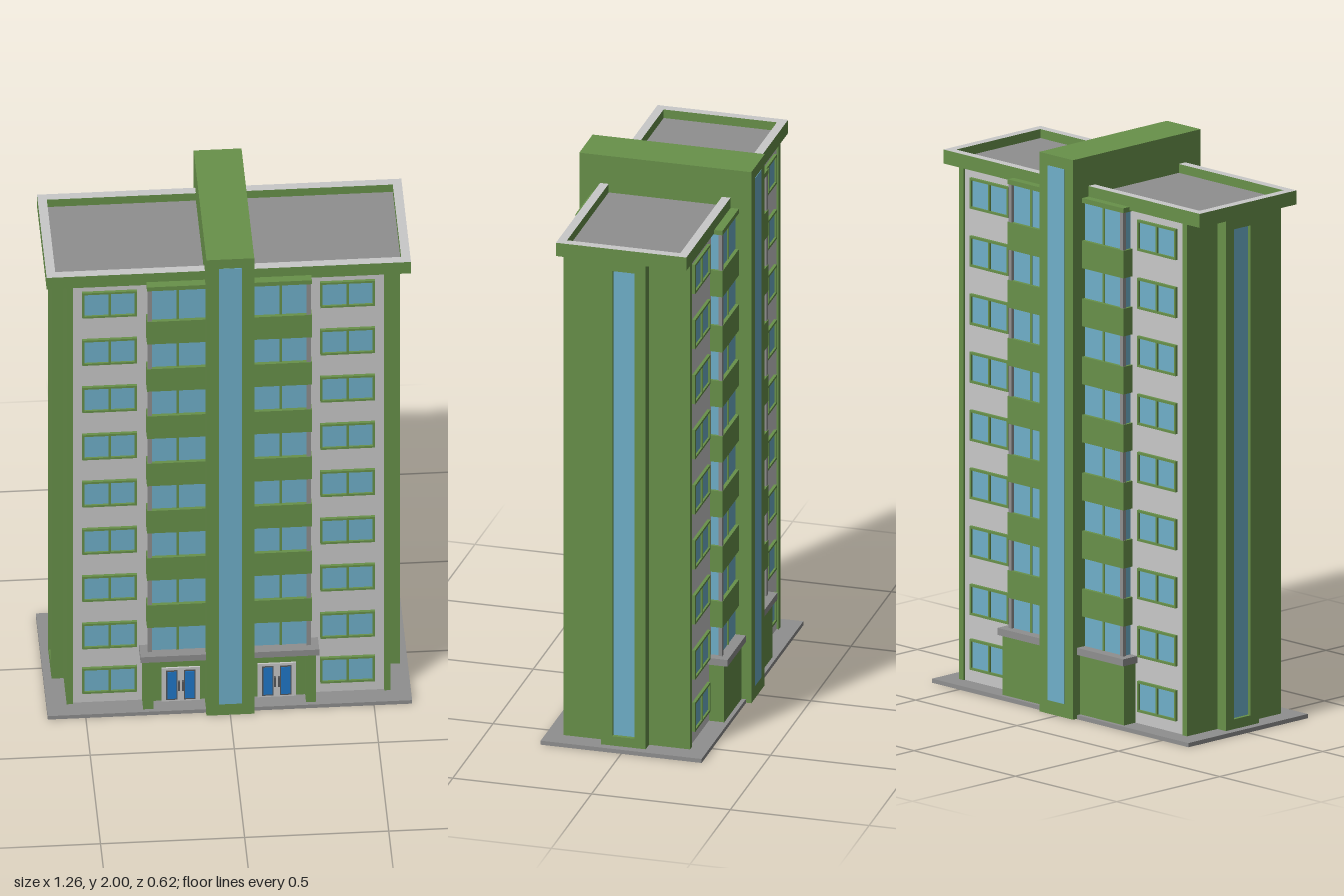
import * as THREE from 'three';

const mat = (name, color) => {
  const m = new THREE.MeshStandardMaterial({ color });
  m.name = name;
  return m;
};

export function createModel() {
  const green = mat('green paint', 0x68914a);
  const pale = mat('pale wall', 0xc9c9c9);
  const grey = mat('grey concrete', 0x8f8f8f);
  const glass = mat('window glass', 0x6fb0ca);
  const blue = mat('door blue', 0x1f78c8);
  const dark = mat('dark handle', 0x55585c);

  const model = new THREE.Group();
  model.name = 'apartmentBlock';

  // Box given by its lower and upper limits on each axis
  const box = (name, material, x0, x1, y0, y1, z0, z1, parent = model) => {
    const mesh = new THREE.Mesh(new THREE.BoxGeometry(x1 - x0, y1 - y0, z1 - z0), material);
    mesh.position.set((x0 + x1) / 2, (y0 + y1) / 2, (z0 + z1) / 2);
    mesh.name = name;
    parent.add(mesh);
    return mesh;
  };

  // Rectangular ring lying in the xy plane, extruded along z
  const ring = (w, h, iw, ih, depth) => {
    const rect = (C, a, b) => {
      const p = new C();
      p.moveTo(-a / 2, -b / 2);
      p.lineTo(a / 2, -b / 2);
      p.lineTo(a / 2, b / 2);
      p.lineTo(-a / 2, b / 2);
      p.closePath();
      return p;
    };
    const s = rect(THREE.Shape, w, h);
    s.holes.push(rect(THREE.Path, iw, ih));
    return new THREE.ExtrudeGeometry(s, { depth, bevelEnabled: false });
  };

  // Ground slab, main body and central tower
  box('groundSlab', grey, -0.632, 0.632, 0, 0.015, -0.29, 0.29);
  box('mainBody', pale, -0.54, 0.54, 0.015, 1.85, -0.22, 0.22);
  box('centralTower', green, -0.083, 0.083, 0.002, 2, -0.31, 0.31);

  // Roof deck with parapet
  box('roofSlab', green, -0.632, 0.632, 1.845, 1.86, -0.235, 0.235);
  box('roofFloor', grey, -0.601, 0.601, 1.858, 1.863, -0.205, 0.205);
  const parapet = new THREE.Mesh(ring(1.264, 0.47, 1.2, 0.408, 0.037), [pale, green]);
  parapet.rotation.x = -Math.PI / 2;
  parapet.position.y = 1.858;
  parapet.name = 'parapet';
  model.add(parapet);

  // End walls, each with a projecting stair bay and a tall recessed window
  for (const s of [1, -1]) {
    const end = new THREE.Group();
    end.name = s > 0 ? 'leftEnd' : 'rightEnd';
    if (s < 0) end.rotation.y = Math.PI;
    box('endWall', green, 0.54, 0.562, 0.015, 1.846, -0.228, 0.228, end);
    box('stairWindow', glass, 0.555, 0.59, 0.05, 1.8, -0.04, 0.04, end);
    box('bayCheek', green, 0.555, 0.604, 0.015, 1.846, 0.04, 0.08, end);
    box('bayCheek', green, 0.555, 0.604, 0.015, 1.846, -0.08, -0.04, end);
    box('bayHead', green, 0.555, 0.604, 1.8, 1.846, -0.04, 0.04, end);
    box('baySill', green, 0.555, 0.604, 0.015, 0.05, -0.04, 0.04, end);
    model.add(end);
  }

  // Height of each storey's window centre
  const floors = [0.31];
  for (let i = 1; i < 8; i++) floors.push(0.31 + 0.2073 * i);

  const frameGeo = ring(0.19, 0.11, 0.174, 0.094, 0.012);

  const facade = (name) => {
    const f = new THREE.Group();
    f.name = name;
    box('towerWindow', glass, -0.04, 0.04, 0.05, 1.96, 0.305, 0.3115, f);

    for (const s of [1, -1]) {
      const span = (n, m, a, b, y0, y1, z0, z1) =>
        box(n, m, Math.min(s * a, s * b), Math.max(s * a, s * b), y0, y1, z0, z1, f);

      // Framed double windows on the pale wall
      for (const y of [0.114, ...floors]) {
        const frame = new THREE.Mesh(frameGeo, green);
        frame.position.set(s * 0.413, y, 0.219);
        frame.name = 'windowFrame';
        f.add(frame);
        span('windowGlass', glass, 0.325, 0.501, y - 0.048, y + 0.048, 0.219, 0.224);
        span('windowMullion', green, 0.409, 0.417, y - 0.048, y + 0.048, 0.219, 0.231);
      }

      // Glazed balcony stack with grey corner post
      span('balconyGlazing', glass, 0.07, 0.276, 0.25, 1.845, 0.2, 0.252);
      span('balconyMullion', green, 0.175, 0.183, 0.25, 1.845, 0.245, 0.256);
      span('cornerPost', grey, 0.268, 0.283, 0.25, 1.845, 0.249, 0.263);
      span('balconyTop', green, 0.07, 0.286, 1.84, 1.857, 0.2, 0.265);
      floors.forEach((y, i) => {
        const low = i ? floors[i - 1] + 0.053 : 0.25;
        span('balconyBand', green, 0.07, 0.286, low, y - 0.056, 0.2, 0.265);
      });

      // Canopy over the ground floor
      span('canopy', grey, 0.07, 0.31, 0.23, 0.255, 0.2, 0.29);
    }
    return f;
  };

  const front = facade('frontFacade');
  const back = facade('backFacade');
  back.rotation.y = Math.PI;
  model.add(front, back);

  // Solid ground floor block at the back
  box('rearBase', green, -0.3, 0.3, 0.015, 0.232, -0.275, -0.2);

  // Recessed entrances at the front with double doors
  for (const s of [1, -1]) {
    const entry = new THREE.Group();
    entry.name = s > 0 ? 'leftEntrance' : 'rightEntrance';
    box('entryWall', green, -0.1, 0.12, 0.015, 0.232, 0.2, 0.23, entry);
    const px = s * 0.116;
    box('entryPillar', green, px - 0.0175, px + 0.0175, 0.015, 0.232, 0.2, 0.275, entry);
    box('doorFrame', pale, -0.067, 0.067, 0.015, 0.16, 0.228, 0.236, entry);
    for (const d of [1, -1]) {
      box('doorSurround', dark, d * 0.031 - 0.02, d * 0.031 + 0.02, 0.022, 0.15, 0.23, 0.238, entry);
      box('doorPanel', blue, d * 0.031 - 0.016, d * 0.031 + 0.016, 0.028, 0.145, 0.232, 0.24, entry);
      box('doorHandle', dark, d * 0.007 - 0.003, d * 0.007 + 0.003, 0.065, 0.105, 0.232, 0.246, entry);
    }
    entry.position.x = s * 0.1665;
    model.add(entry);
  }

  return model;
}
